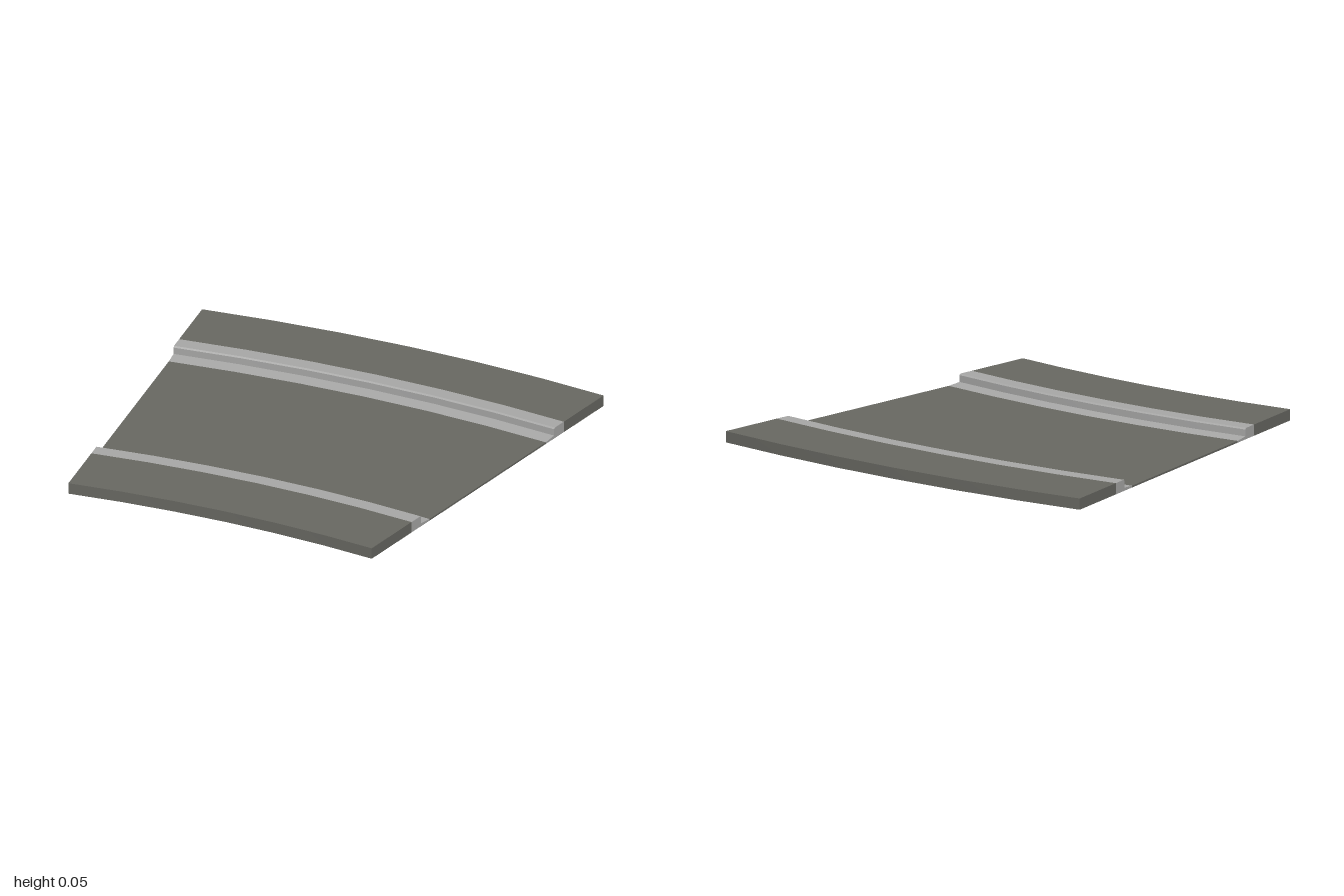
import * as THREE from 'three';
import { toCreasedNormals } from 'three/addons/utils/BufferGeometryUtils.js';

const CX = -0.955, CZ = 6.38; // centre of the bend
const ANGLE = Math.PI / 12, STEPS = 6;

// Sweep a convex counter-clockwise [radius, y] profile around the bend and cap both ends
function sweep(profile) {
  const pos = [];
  const at = ([r, y], i) => {
    const a = ANGLE * i / STEPS;
    return [CX + r * Math.sin(a), y, CZ - r * Math.cos(a)];
  };
  const tri = (a, b, c) => pos.push(...a, ...b, ...c);
  profile.forEach((p, k) => {
    const q = profile[(k + 1) % profile.length];
    for (let i = 0; i < STEPS; i++) {
      tri(at(p, i), at(q, i), at(q, i + 1));
      tri(at(p, i), at(q, i + 1), at(p, i + 1));
    }
  });
  for (let k = 1; k < profile.length - 1; k++) {
    const [a, b, c] = [profile[0], profile[k], profile[k + 1]];
    tri(at(a, STEPS), at(b, STEPS), at(c, STEPS));
    tri(at(a, 0), at(c, 0), at(b, 0));
  }
  const geo = new THREE.BufferGeometry();
  geo.setAttribute('position', new THREE.Float32BufferAttribute(pos, 3));
  return toCreasedNormals(geo, 0.3);
}

export function createModel() {
  const asphalt = new THREE.MeshStandardMaterial({ name: 'asphalt', color: 0x686862 });
  const concrete = new THREE.MeshStandardMaterial({ name: 'concrete', color: 0xa8a8a7 });
  const model = new THREE.Group();
  model.name = 'curvedRoad';
  const add = (name, profile, material) => {
    const mesh = new THREE.Mesh(sweep(profile), material);
    mesh.name = name;
    model.add(mesh);
  };

  const TOP = 0.05, ROAD = 0.008, LIP = 0.014, BEVEL = 0.006;
  add('roadway', [[6.025, 0], [6.93, 0], [6.93, ROAD], [6.025, ROAD]], asphalt);

  // Each side, from the roadway outwards: gutter, curb, pavement
  const sides = [
    { name: 'outer', road: 6.93, face: 6.995, back: 7.07, edge: 7.38 },
    { name: 'inner', road: 6.025, face: 5.96, back: 5.885, edge: 5.575 },
  ];
  for (const { name, road, face, back, edge } of sides) {
    const s = Math.sign(edge - road);
    // Profiles are written for the outer side, so reverse them on the inner side
    const wind = (pts) => (s > 0 ? pts : pts.reverse());
    add(name + 'Gutter', wind([[road, 0], [face, 0], [face, LIP], [road, ROAD]]), concrete);
    add(name + 'Curb', wind([[face, 0], [back, 0], [back, TOP],
      [face + s * BEVEL, TOP], [face, TOP - BEVEL]]), concrete);
    add(name + 'Pavement', wind([[back, 0], [edge, 0], [edge, TOP], [back, TOP]]), asphalt);
  }
  return model;
}
